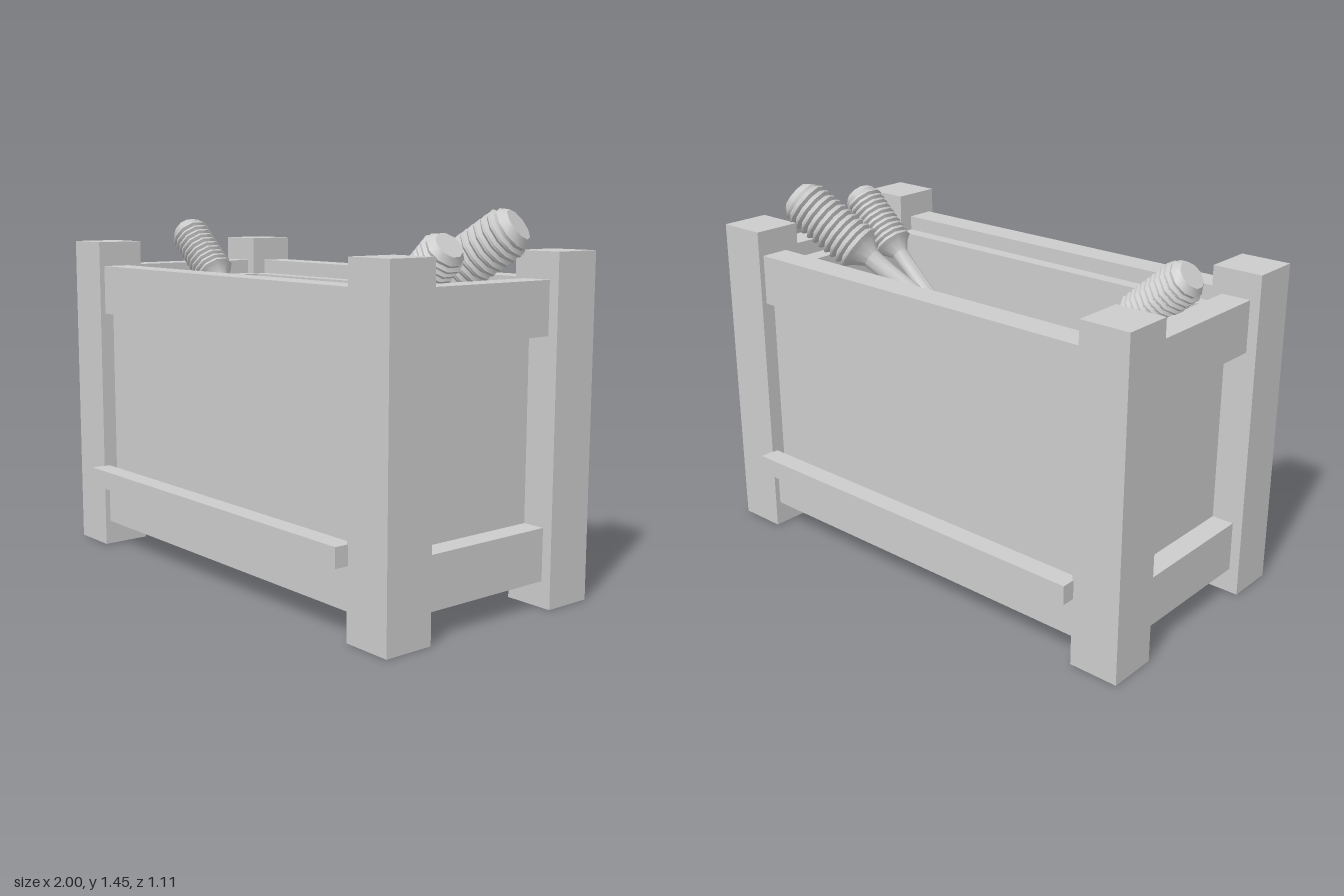
import * as THREE from 'three';
import { toCreasedNormals } from 'three/addons/utils/BufferGeometryUtils.js';

const grey = new THREE.MeshStandardMaterial({ color: 0xcccccc });
const greyOpen = new THREE.MeshStandardMaterial({ color: 0xcccccc, side: THREE.DoubleSide });

// Box given by its limits on each axis
function box(name, [x0, x1], [y0, y1], [z0, z1]) {
  const mesh = new THREE.Mesh(new THREE.BoxGeometry(x1 - x0, y1 - y0, z1 - z0), grey);
  mesh.name = name;
  mesh.position.set((x0 + x1) / 2, (y0 + y1) / 2, (z0 + z1) / 2);
  return mesh;
}

// Corner post, hollow and open underneath
function post(xs, zs) {
  const mesh = box('cornerPost', xs, [0, 1.3], zs);
  const index = Array.from(mesh.geometry.index.array);
  index.splice(18, 6); // bottom face
  mesh.geometry.setIndex(index);
  mesh.geometry.clearGroups();
  mesh.material = greyOpen;
  return mesh;
}

// The same range on the positive or the negative side
const side = (s, a, b) => (s > 0 ? [a, b] : [-b, -a]);

// Mallet with a ridged head, running from the handle end to the head tip
function mallet(name, end, tip) {
  const from = new THREE.Vector3(...end);
  const axis = new THREE.Vector3(...tip).sub(from);
  const k = axis.length() / 1.42;
  const profile = [
    [0, 0], [0.032, 0], [0.041, 0.012], [0.041, 0.03], [0.032, 0.04],
    [0.038, 0.055], [0.038, 0.3], [0.031, 1.0], [0.035, 1.085], [0.06, 1.12],
  ];
  // Ridges, then the bevelled tip
  for (let i = 0; i < 10; i++) {
    const y = 1.13 + i * 0.0255;
    profile.push([0.072, y], [0.084, y + 0.009], [0.084, y + 0.017]);
  }
  profile.push([0.072, 1.385], [0.074, 1.396], [0.054, 1.42], [0, 1.42]);
  const lathe = new THREE.LatheGeometry(profile.map(([r, y]) => new THREE.Vector2(r * k, y * k)), 10);
  const mesh = new THREE.Mesh(toCreasedNormals(lathe, 0.7), grey);
  mesh.name = name;
  mesh.position.copy(from);
  mesh.quaternion.setFromUnitVectors(new THREE.Vector3(0, 1, 0), axis.normalize());
  return mesh;
}

export function createModel() {
  const model = new THREE.Group();
  model.name = 'crateWithMallets';

  // Corner posts
  for (const sx of [1, -1])
    for (const sz of [1, -1])
      model.add(post(side(sx, 0.8, 1), side(sz, 0.3, 0.5)));

  for (const s of [1, -1]) {
    // Upper and lower rails between the posts
    for (const y of [[0.1, 0.3], [1, 1.2]]) {
      model.add(box('longRail', [-0.8, 0.8], y, side(s, 0.362, 0.478)));
      model.add(box('endRail', side(s, 0.843, 0.96), y, [-0.3, 0.3]));
    }
    // Ledge strip on the long sides
    model.add(box('ledge', [-0.805, 0.805], [0.27, 0.345], side(s, 0.475, 0.555)));
    // Recessed walls, kept clear of the hollow posts
    model.add(box('longWall', [-0.8, 0.8], [0.13, 1.14], side(s, 0.303, 0.44)));
    model.add(box('endWall', side(s, 0.768, 0.87), [0.13, 1.14], [-0.303, 0.303]));
  }
  model.add(box('floor', [-0.768, 0.768], [0.13, 0.36], [-0.303, 0.303]));

  // Mallets leaning on the ends
  model.add(mallet('leftLeaningMallet', [0.17, 0.4, -0.03], [-0.898, 1.35, 0]));
  model.add(mallet('largeMallet', [-0.45, 0.42, 0.25], [0.855, 1.393, -0.247]));
  model.add(mallet('smallMallet', [-0.18, 0.39, 0.108], [0.893, 1.33, 0.135]));

  return model;
}
